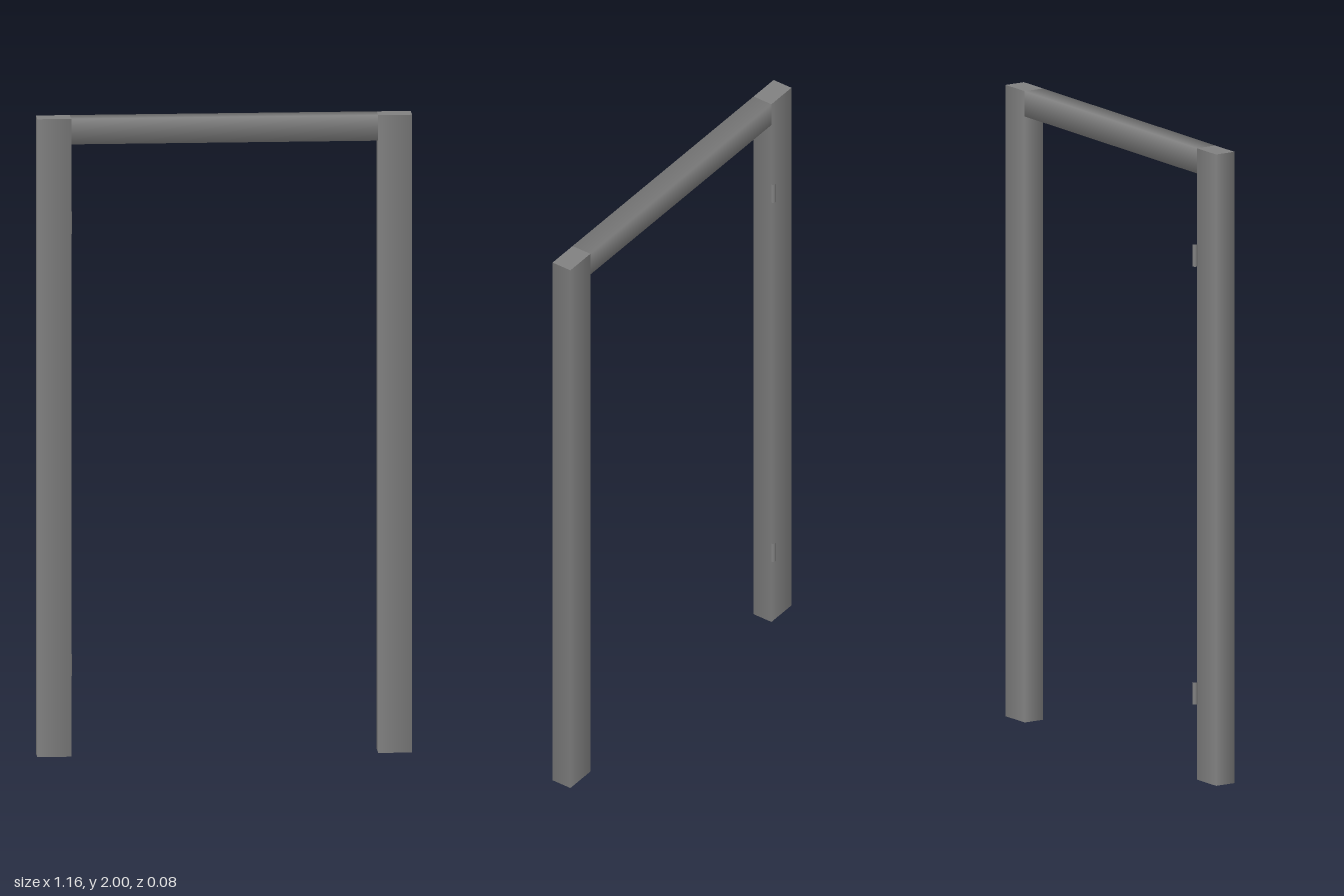
import * as THREE from 'three';

const darkGrey = new THREE.MeshStandardMaterial({ color: 0x808080 });

// Frame and hinge dimensions
const OUTER = 0.58, INNER = 0.475, FRONT = 0.041, BACK = -0.027;
const HEIGHT = 2, BEAM_HEIGHT = 0.08;
const DEPTH = FRONT - BACK, MID_Z = (FRONT + BACK) / 2;
const KNUCKLE_RADIUS = 0.0075;

// Square bar along y with softly shaded sides and flat ends
function bar(width, length, depth) {
  const geometry = new THREE.CylinderGeometry(Math.SQRT1_2, Math.SQRT1_2, 1, 4);
  geometry.rotateY(Math.PI / 4);
  geometry.scale(width, length, depth);
  return geometry;
}

function addPart(parent, name, geometry, x, y, z) {
  const mesh = new THREE.Mesh(geometry, darkGrey);
  mesh.name = name;
  mesh.position.set(x, y, z);
  parent.add(mesh);
}

export function createModel() {
  const doorFrame = new THREE.Group();
  doorFrame.name = 'doorFrame';

  // Two upright posts
  for (const side of [-1, 1]) {
    addPart(doorFrame, side > 0 ? 'leftPost' : 'rightPost',
      bar(OUTER - INNER, HEIGHT, DEPTH), side * (OUTER + INNER) / 2, HEIGHT / 2, MID_Z);
  }

  // Header beam between the posts
  const beam = bar(BEAM_HEIGHT, 2 * INNER, DEPTH).rotateZ(Math.PI / 2);
  addPart(doorFrame, 'headerBeam', beam, 0, HEIGHT - BEAM_HEIGHT / 2, MID_Z);

  // Open hinge tubes on the back inner edge of the right post
  for (const [name, y] of [['lowerHinge', 0.275], ['upperHinge', 1.662]]) {
    const tube = new THREE.CylinderGeometry(KNUCKLE_RADIUS, KNUCKLE_RADIUS, 0.07, 16, 1, true);
    addPart(doorFrame, name, tube, -INNER, y, BACK - KNUCKLE_RADIUS);
  }

  return doorFrame;
}
